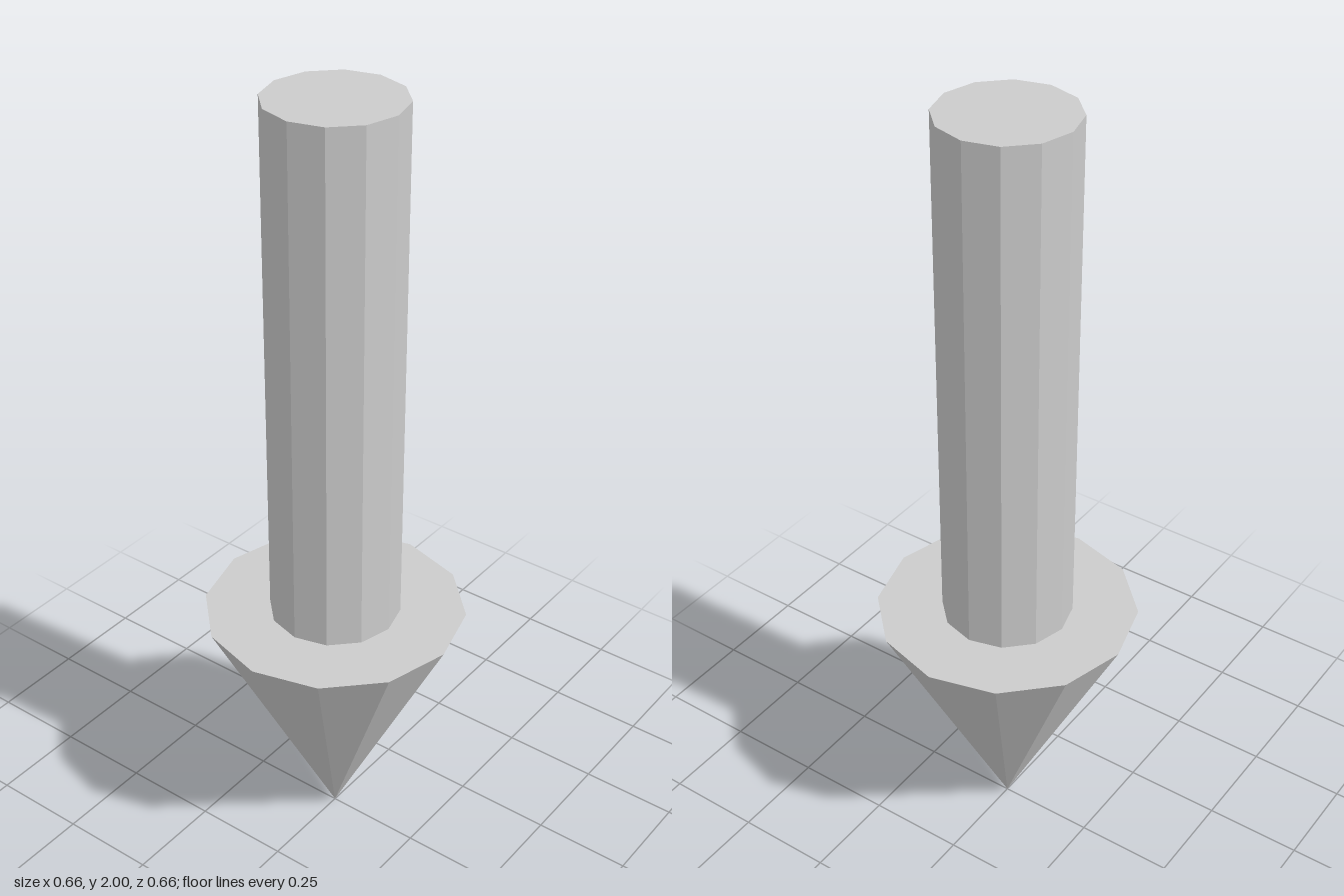
import * as THREE from 'three';

const SIDES = 12;
const HEIGHT = 2;
const HEAD_HEIGHT = 0.66;
const HEAD_RADIUS = 0.33;
const SHAFT_RADIUS = 0.165;

export function createModel() {
  const model = new THREE.Group();
  model.name = 'downArrow';
  const material = new THREE.MeshStandardMaterial({ color: 0xcccccc, flatShading: true });

  // Adds a faceted round part spanning the heights y0 to y1
  const addPart = (name, topRadius, bottomRadius, y0, y1) => {
    const geometry = new THREE.CylinderGeometry(topRadius, bottomRadius, y1 - y0, SIDES);
    const mesh = new THREE.Mesh(geometry, material);
    mesh.name = name;
    mesh.position.y = (y0 + y1) / 2;
    model.add(mesh);
  };

  // Pointed head, tip down
  addPart('arrowHead', HEAD_RADIUS, 0, 0, HEAD_HEIGHT);
  // Straight shaft standing on the head
  addPart('shaft', SHAFT_RADIUS, SHAFT_RADIUS, HEAD_HEIGHT, HEIGHT);

  return model;
}
